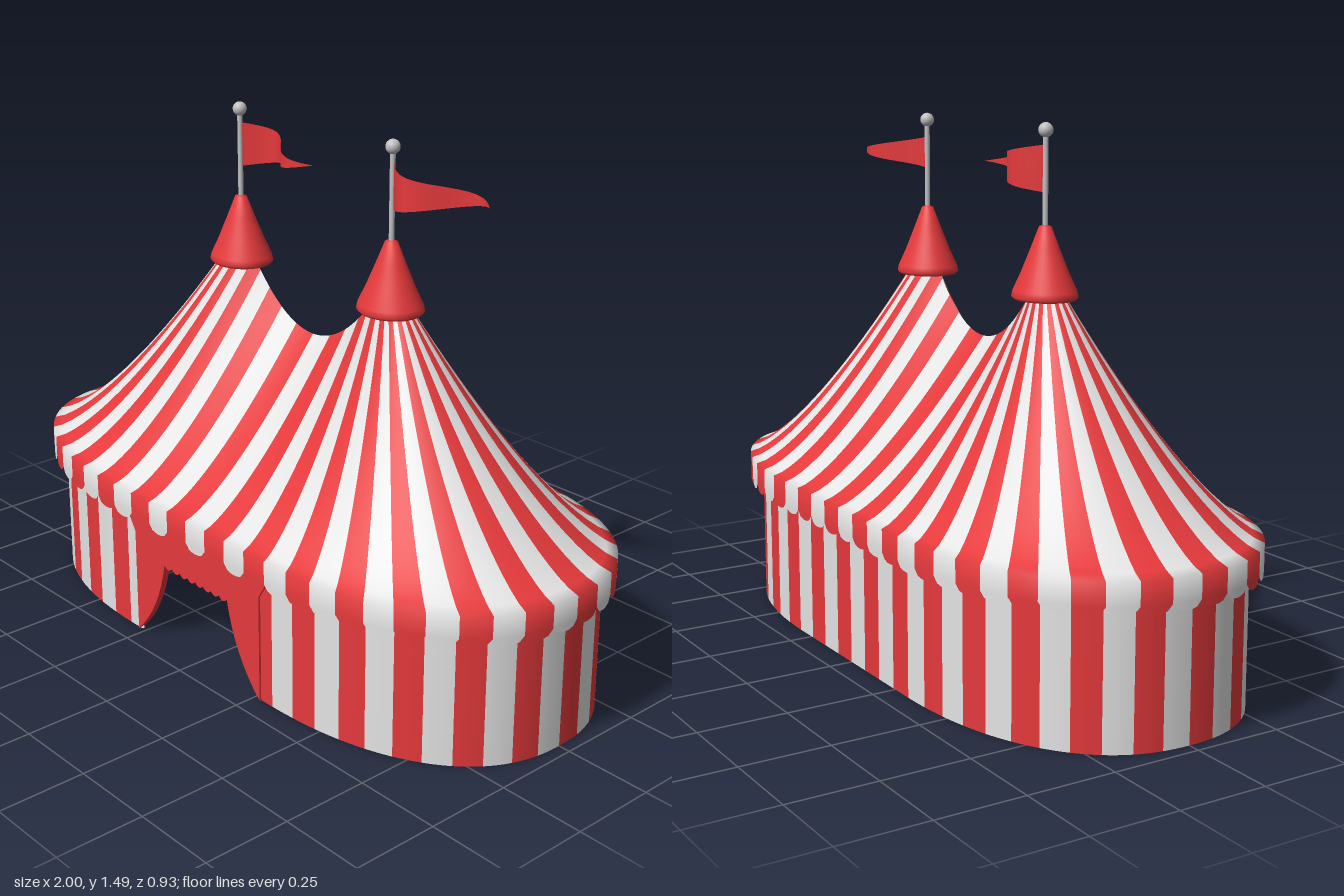
import * as THREE from 'three';

const STRIPES = 60, SUB = 6, COLS = STRIPES * SUB;
const LENGTH = 1, WIDTH = 0.467, EAVE = 0.45, PEAK_X = 0.31;

// Plan of the tent: straight long sides with rounded ends, in even steps from +x towards -z
function makeOutline() {
  const mid = 0.3, cap = LENGTH - mid, n = 2.3, quarter = [];
  for (let i = 0; i <= 400; i++) {
    const a = (i / 400) * Math.PI / 2;
    quarter.push([mid + cap * Math.cos(a) ** (2 / n), -WIDTH * Math.sin(a) ** (2 / n)]);
  }
  const back = [...quarter, ...quarter.map(([x, z]) => [-x, z]).reverse()];
  const loop = [...back, ...back.map(([x, z]) => [-x, -z])];
  const lengths = [0];
  for (let i = 1; i < loop.length; i++) {
    lengths.push(lengths[i - 1] + Math.hypot(loop[i][0] - loop[i - 1][0], loop[i][1] - loop[i - 1][1]));
  }
  const total = lengths[lengths.length - 1], points = [];
  for (let c = 0, k = 1; c < COLS; c++) {
    const d = (c / COLS) * total;
    while (lengths[k] < d) k++;
    const f = (d - lengths[k - 1]) / (lengths[k] - lengths[k - 1] || 1);
    points.push([0, 1].map((j) => loop[k - 1][j] + f * (loop[k][j] - loop[k - 1][j])));
  }
  return points;
}

// Striped sheet around the plan: at(x, z, r, s) gives a point for row r, s across one stripe
function stripedSheet(name, outline, rows, materials, at, skip = () => false) {
  const pos = [], index = [[], []];
  outline.forEach(([x, z], c) => {
    for (let r = 0; r <= rows; r++) pos.push(...at(x, z, r, (c % SUB) / SUB));
  });
  for (let c = 0; c < COLS; c++) {
    const n = (c + 1) % COLS;
    if (skip((outline[c][0] + outline[n][0]) / 2, outline[c][1])) continue;
    for (let r = 0; r < rows; r++) {
      const a = c * (rows + 1) + r, b = n * (rows + 1) + r;
      index[Math.floor(c / SUB) % 2].push(a, b, b + 1, a, b + 1, a + 1);
    }
  }
  const g = new THREE.BufferGeometry();
  g.setAttribute('position', new THREE.Float32BufferAttribute(pos, 3));
  g.setIndex([...index[0], ...index[1]]);
  g.addGroup(0, index[0].length, 0);
  g.addGroup(index[0].length, index[1].length, 1);
  g.computeVertexNormals();
  const mesh = new THREE.Mesh(g, materials);
  mesh.name = name;
  return mesh;
}

export function createModel() {
  const mat = (name, color, side = THREE.DoubleSide) => {
    const m = new THREE.MeshStandardMaterial({ color, side });
    m.name = name;
    return m;
  };
  const red = mat('red canvas', 0xe5393b);
  const white = mat('white canvas', 0xe4e4e4);
  const metal = mat('grey metal', 0xc0c0c0, THREE.FrontSide);
  const canvas = [red, white];

  const tent = new THREE.Group();
  tent.name = 'stripedTent';
  const add = (name, geometry, material, parent = tent) => {
    const m = new THREE.Mesh(geometry, material);
    m.name = name;
    parent.add(m);
    return m;
  };
  const outline = makeOutline();

  // Roof with scalloped valance and a sagging ridge between two peaks
  const slopeRows = 20;
  tent.add(stripedSheet('roof', outline, slopeRows + 2, canvas, (x, z, r, s) => {
    if (r < 2) {
      const scallop = 0.387 - 0.022 * Math.sqrt(Math.max(0, 1 - (2 * s - 1) ** 2));
      return [x, r ? 0.387 : scallop, z];
    }
    const t = (r - 2) / slopeRows;
    const rx = PEAK_X * Math.tanh(x / 0.36);
    const top = 0.885 + 0.255 * (rx / PEAK_X) ** 2;
    return [x + (rx - x) * t, EAVE + (top - EAVE) * t ** 1.37, z * (1 - t)];
  }));

  // Walls: outer and inner skin and the hem between them, open at the doorway
  const inDoor = (x, z) => z > 0 && Math.abs(x) < 0.28;
  const wx = 0.965, wz = 0.925, inner = 0.988;
  const skin = (k, y0) => (x, z, r) => [x * wx * k, r ? 0.44 : y0, z * wz * k];
  tent.add(stripedSheet('outerWall', outline, 1, canvas, skin(1, 0), inDoor));
  tent.add(stripedSheet('innerWall', outline, 1, canvas, skin(inner, 0), inDoor));
  tent.add(stripedSheet('wallHem', outline, 1, canvas, (x, z, r) => {
    const k = r ? 1 : inner;
    return [x * wx * k, 0, z * wz * k];
  }, inDoor));
  tent.add(stripedSheet('wallAboveDoor', outline, 1, canvas, skin(1, 0.3),
    (x, z) => !inDoor(x, z)));

  // Doorway: drawn-back curtains, a scalloped pelmet and a flared head under the eave
  const door = new THREE.Shape();
  door.moveTo(-0.275, 0);
  door.lineTo(-0.275, 0.315);
  door.lineTo(-0.31, 0.37);
  door.lineTo(0.31, 0.37);
  door.lineTo(0.275, 0.315);
  door.lineTo(0.275, 0);
  door.quadraticCurveTo(0.17, 0.1, 0.14, 0.255);
  const scallops = 8, step = 0.28 / scallops;
  for (let i = 0; i < scallops; i++) {
    const x = 0.14 - i * step;
    door.quadraticCurveTo(x - step / 2, 0.235, x - step, 0.255);
  }
  door.quadraticCurveTo(-0.17, 0.1, -0.275, 0);
  add('doorCurtains', new THREE.ExtrudeGeometry(door,
    { depth: 0.02, bevelEnabled: false, curveSegments: 8 }), red).position.z = 0.418;

  // Caps, poles and flags on both peaks
  const capProfile = [[0, 1.03], [0.09, 1.028], [0.098, 1.036], [0.094, 1.052], [0.07, 1.1],
    [0.042, 1.165], [0.018, 1.222], [0, 1.228]].map(([r, y]) => new THREE.Vector2(r, y));
  for (const side of [-1, 1]) {
    const mast = new THREE.Group();
    mast.name = side > 0 ? 'leftMast' : 'rightMast';
    mast.position.x = side * PEAK_X;
    tent.add(mast);
    add('peakCap', new THREE.LatheGeometry(capProfile, 32), red, mast).scale.z = 0.88;
    add('pole', new THREE.CylinderGeometry(0.0075, 0.0075, 0.27, 16), metal, mast).position.y = 1.335;
    add('poleBall', new THREE.SphereGeometry(0.02, 20, 14), metal, mast).position.y = 1.474;

    // Pennant tapering to a point, rippling sideways
    const flag = new THREE.PlaneGeometry(1, 1, 24, 4);
    const p = flag.attributes.position;
    for (let i = 0; i < p.count; i++) {
      const s = p.getX(i) + 0.5;
      p.setXYZ(i, 0.005 + 0.325 * s, 1.373 + p.getY(i) * 0.125 * (1 - s),
        side * 0.05 * Math.sin(s * Math.PI * 1.9));
    }
    flag.computeVertexNormals();
    add('flag', flag, red, mast);
  }
  return tent;
}
